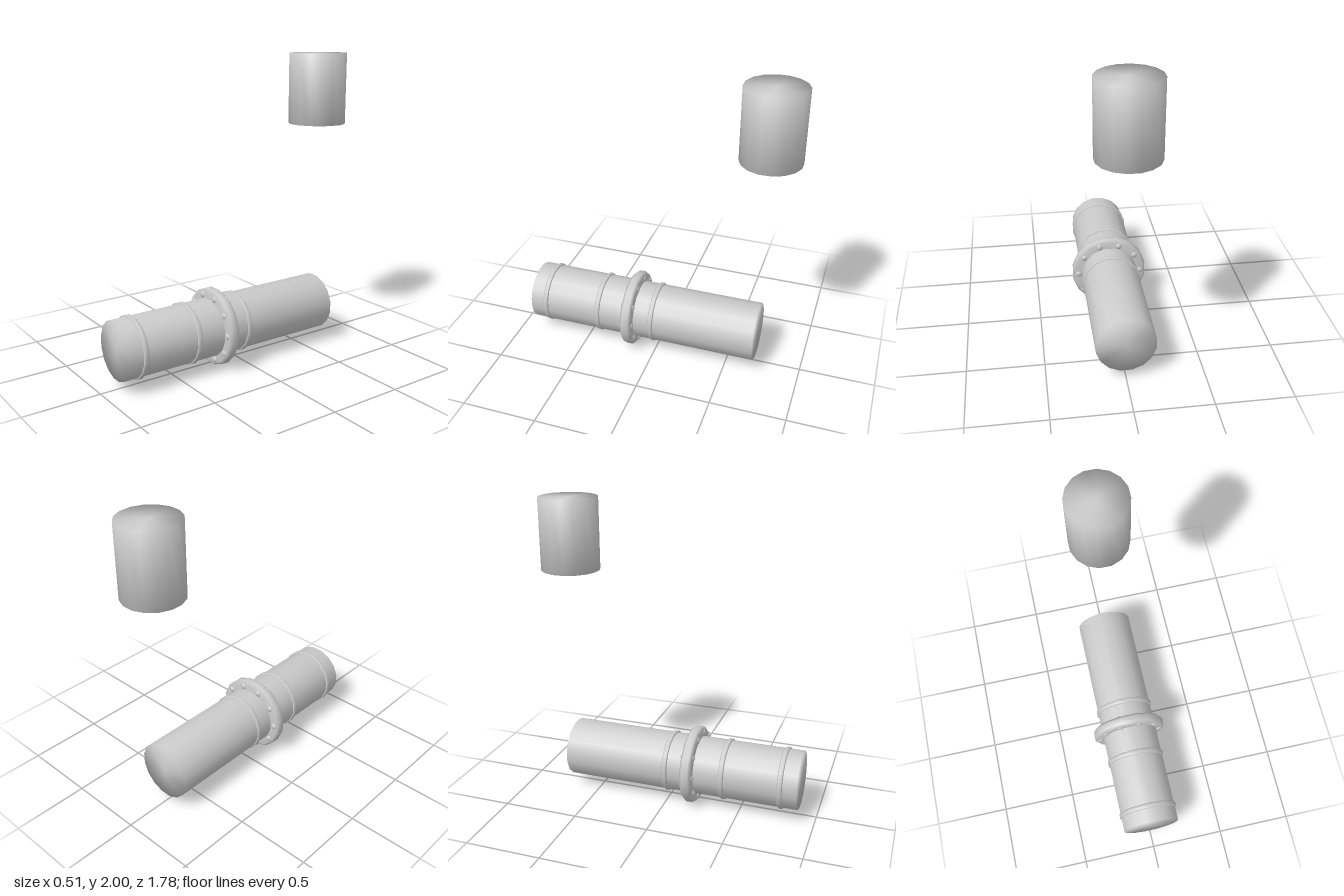
import * as THREE from 'three';

const SIDES = 16;
const AXIS_Y = 0.254;
const material = new THREE.MeshStandardMaterial({ color: 0xcccccc });

// Closed turned solid around y, with a flat facing each axis
function turned(name, profile) {
  const points = profile.map(([r, y]) => new THREE.Vector2(r, y));
  const mesh = new THREE.Mesh(
    new THREE.LatheGeometry(points, SIDES, Math.PI / SIDES), material);
  mesh.name = name;
  return mesh;
}

// Solid pipe with softly shaded end caps
const pipe = (name, r, length) =>
  turned(name, [[0, -length / 2], [r, -length / 2], [r, length / 2], [0, length / 2]]);

// Band with chamfered edges
function band(name, r, width, bevel) {
  const h = width / 2;
  return turned(name, [
    [0.17, -h], [r - bevel, -h], [r, -h + bevel],
    [r, h - bevel], [r - bevel, h], [0.17, h],
  ]);
}

export function createModel() {
  const model = new THREE.Group();
  model.name = 'pipes';

  // Upright pipe section
  const upright = pipe('uprightPipe', 0.194, 0.47);
  upright.position.set(0, 1.765, -0.695);
  model.add(upright);

  // Lying pipe: built along y, then turned to run along z
  const lying = new THREE.Group();
  lying.name = 'lyingPipeAssembly';
  lying.rotation.x = Math.PI / 2;
  lying.position.y = AXIS_Y;
  model.add(lying);

  const body = pipe('lyingPipe', 0.194, 1.585);
  body.position.y = 0.0975;
  lying.add(body);

  // Narrow clamping rings
  for (const z of [0.01, 0.395, 0.78]) {
    const ring = band('ring', 0.204, 0.035, 0.007);
    ring.position.y = z;
    lying.add(ring);
  }

  // Wide flange
  const flangeZ = 0.17;
  const flange = band('flange', 0.258, 0.076, 0.018);
  flange.position.y = flangeZ;
  lying.add(flange);

  // Bolt heads on both faces of the flange
  const boltGeometry = new THREE.SphereGeometry(0.024, 10, 6);
  for (let i = 0; i < 10; i++) {
    const a = (i / 10) * Math.PI * 2;
    for (const side of [-1, 1]) {
      const bolt = new THREE.Mesh(boltGeometry, material);
      bolt.name = 'bolt';
      bolt.scale.y = 0.7;
      bolt.position.set(0.216 * Math.cos(a), flangeZ + side * 0.031, 0.216 * Math.sin(a));
      lying.add(bolt);
    }
  }

  return model;
}
